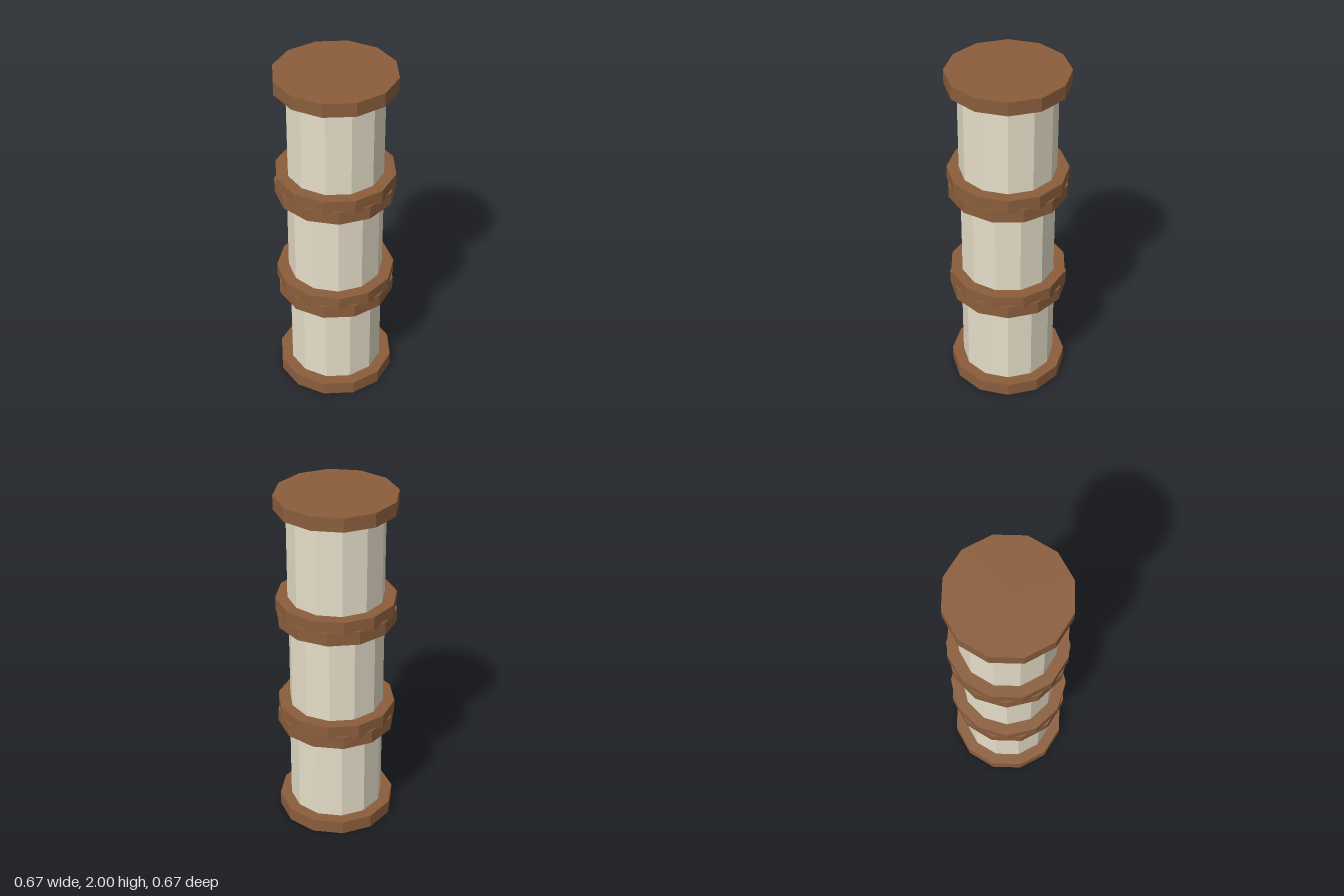
import * as THREE from 'three';

const SIDES = 12;
const HEIGHT = 0.677; // one spool
const CAP = 0.079; // flange thickness
const STEP = 0.6615; // stacking distance, flanges overlap slightly

export function createModel() {
  const wood = new THREE.MeshStandardMaterial({ color: 0x8b5e3c, flatShading: true });
  wood.name = 'brown wood';
  const thread = new THREE.MeshStandardMaterial({ color: 0xe6dec9, flatShading: true });
  thread.name = 'cream thread';

  const flangeGeo = new THREE.CylinderGeometry(0.337, 0.337, CAP, SIDES);
  const drumGeo = new THREE.CylinderGeometry(0.27, 0.27, HEIGHT - 2 * CAP, SIDES);

  const add = (parent, name, geometry, material, y) => {
    const mesh = new THREE.Mesh(geometry, material);
    mesh.name = name;
    mesh.position.y = y;
    parent.add(mesh);
  };

  const model = new THREE.Group();
  model.name = 'spoolStack';

  // Three spools, the middle one turned by half a facet
  ['lowerSpool', 'middleSpool', 'upperSpool'].forEach((name, i) => {
    const spool = new THREE.Group();
    spool.name = name;
    add(spool, 'bottomFlange', flangeGeo, wood, CAP / 2);
    add(spool, 'drum', drumGeo, thread, HEIGHT / 2);
    add(spool, 'topFlange', flangeGeo, wood, HEIGHT - CAP / 2);
    spool.position.y = i * STEP;
    spool.rotation.y = -0.017 + (i % 2) * (Math.PI / SIDES);
    model.add(spool);
  });

  return model;
}
